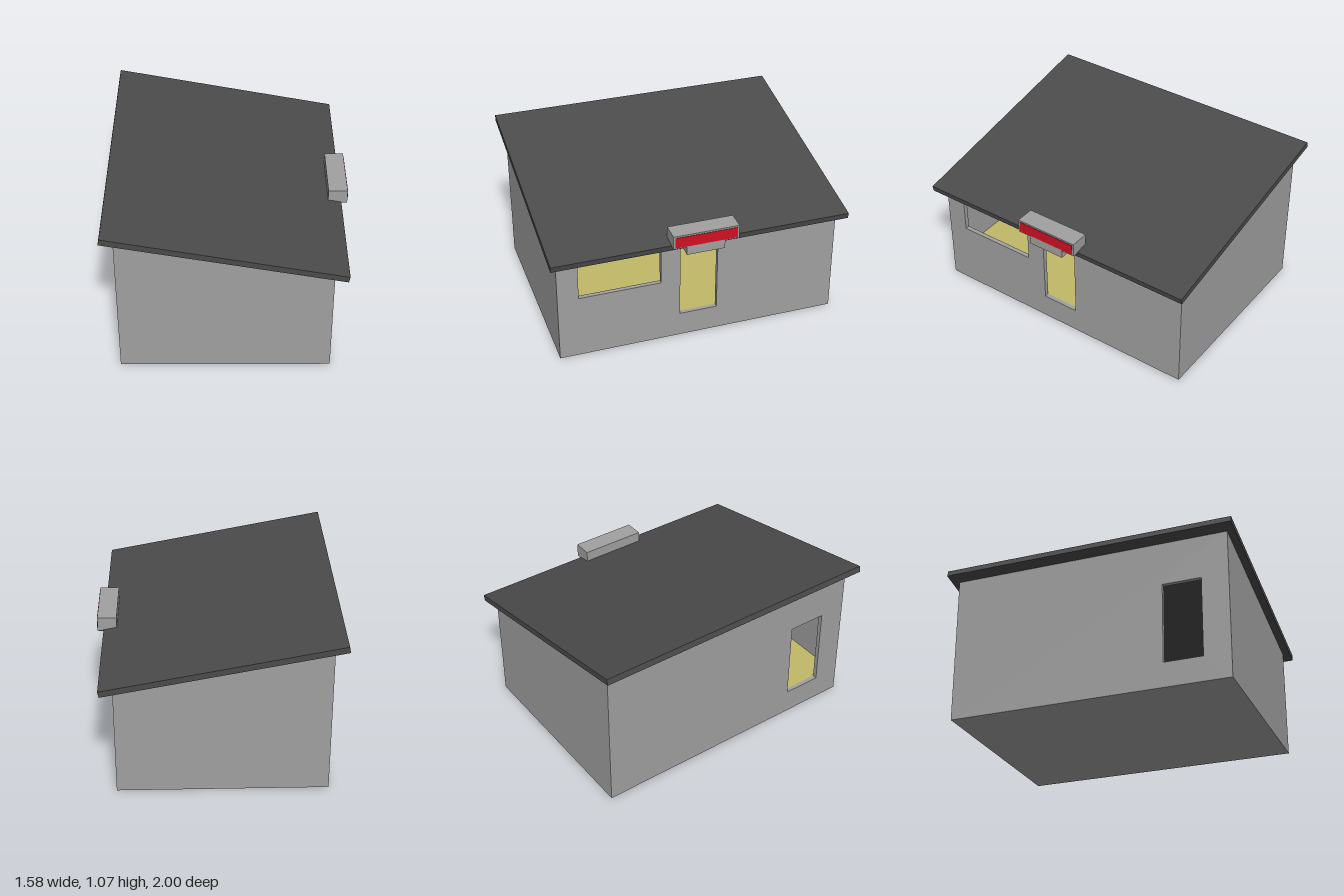
import * as THREE from 'three';

export function createModel() {
  const group = new THREE.Group();
  const mat = (name, color) => {
    const m = new THREE.MeshStandardMaterial({ color });
    m.name = name;
    return m;
  };
  const wallGrey = mat('wallGrey', 0xa0a0a0);
  const roofGrey = mat('roofGrey', 0x4b4b4b);
  const floorYellow = mat('floorYellow', 0xc1b967);
  const signRed = mat('signRed', 0xd01022);

  const add = (name, geometry, material) => {
    const mesh = new THREE.Mesh(geometry, material);
    mesh.name = name;
    group.add(mesh);
    return mesh;
  };
  // box given by its minimum and maximum corners
  const box = (name, a, b, material) => {
    const mesh = add(name, new THREE.BoxGeometry(b[0] - a[0], b[1] - a[1], b[2] - a[2]), material);
    mesh.position.set((a[0] + b[0]) / 2, (a[1] + b[1]) / 2, (a[2] + b[2]) / 2);
    return mesh;
  };
  const polygon = (pts) => new THREE.Shape(pts.map(([x, y]) => new THREE.Vector2(x, y)));
  const rect = (x0, y0, x1, y1) => [[x0, y0], [x1, y0], [x1, y1], [x0, y1]];
  const extrude = (shape, depth) => new THREE.ExtrudeGeometry(shape, { depth, bevelEnabled: false });

  const X0 = -0.705, X1 = 0.66, Z = 0.95, T = 0.03, FLOOR = 0.17, HEAD = 0.715;
  const underside = (x) => 1.03 - 0.1915 * (x + 0.79); // sloping underside of the roof

  // front and back walls with sloping tops
  for (const [name, z] of [['frontWall', Z - T], ['backWall', -Z]]) {
    const shape = polygon([[X0, 0], [X1, 0], [X1, underside(X1)], [X0, underside(X0)]]);
    add(name, extrude(shape, T), wallGrey).position.z = z;
  }

  // side walls with openings, drawn in (z, y) and turned to face sideways
  const sideWall = (name, xOuter, xInner, openings) => {
    const shape = polygon(rect(-Z + T, 0, Z - T, underside((xOuter + xInner) / 2) + 0.003));
    for (const o of openings) shape.holes.push(polygon(rect(...o)));
    const mesh = add(name, extrude(shape, T), wallGrey);
    mesh.rotation.y = -Math.PI / 2;
    mesh.position.x = Math.max(xOuter, xInner);
  };
  sideWall('entranceWall', X1, X1 - T, [
    [0.26, 0.445, 0.81, HEAD], // shop window
    [-0.125, FLOOR, 0.13, HEAD], // main doorway
  ]);
  sideWall('rearDoorWall', X0, X0 + T, [[0.51, FLOOR, 0.77, HEAD]]);

  // raised base with a thin floor covering
  box('base', [X0 + T, 0, -Z + T], [X1 - T, FLOOR - 0.008, Z - T], wallGrey);
  box('floor', [X0 + T, FLOOR - 0.008, -Z + T], [X1 - T, FLOOR, Z - T], floorYellow);

  // overhanging sloping roof slab
  const roofShape = polygon([[-0.79, 1.03], [0.74, 0.737], [0.748, 0.777], [-0.782, 1.07]]);
  add('roof', extrude(roofShape, 2), roofGrey).position.z = -1;

  // sign box above the doorway, on its bracket
  box('signBracket', [X1, HEAD, -0.125], [0.787, 0.772, 0.13], wallGrey);
  box('signBox', [X1, 0.772, -0.22], [0.787, 0.865, 0.22], wallGrey);
  box('signFace', [0.785, 0.78, -0.208], [0.79, 0.854, 0.208], signRed);

  return group;
}
